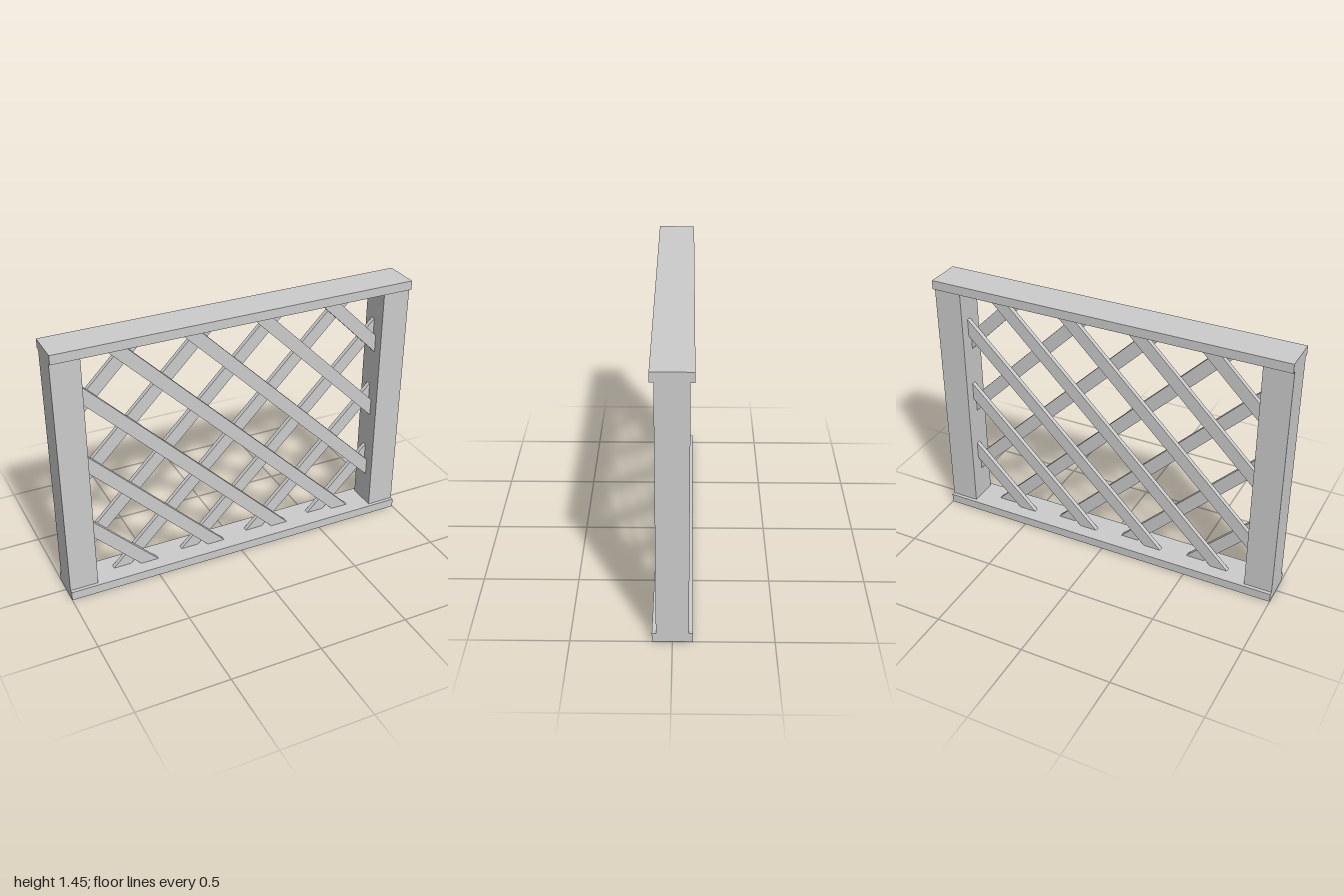
import * as THREE from 'three';

const HEIGHT = 1.45, RAIL_H = 0.05, RAIL_D = 0.2;
const POST_W = 0.155, POST_D = 0.16;
const SLAT_STEP = 0.4, SLAT_HALF = 0.05, SLAT_T = 0.025;
const OPEN_X = 1 - POST_W, OPEN_Y = HEIGHT / 2 - RAIL_H; // half size of the opening

const material = new THREE.MeshStandardMaterial({ color: 0xcccccc, flatShading: true });

function addBox(group, name, w, h, d, x, y) {
  const mesh = new THREE.Mesh(new THREE.BoxGeometry(w, h, d), material);
  mesh.name = name;
  mesh.position.set(x, y, 0);
  group.add(mesh);
}

// Ends of the diagonal x + y = c inside the opening, upper left end first
function diagonal(c) {
  const x0 = Math.max(-OPEN_X, c - OPEN_Y);
  const x1 = Math.min(OPEN_X, c + OPEN_Y);
  return [new THREE.Vector2(x0, c - x0), new THREE.Vector2(x1, c - x1)];
}

// One layer of parallel slats, mitred to the frame, running down to the right
function slatLayer(name) {
  const layer = new THREE.Group();
  layer.name = name;
  for (let k = -3; k <= 3; k++) {
    const [a, b] = diagonal(k * SLAT_STEP - SLAT_HALF);
    const [d, c] = diagonal(k * SLAT_STEP + SLAT_HALF);
    const geometry = new THREE.ExtrudeGeometry(new THREE.Shape([a, b, c, d]), {
      depth: SLAT_T, bevelEnabled: false,
    });
    const slat = new THREE.Mesh(geometry, material);
    slat.name = 'latticeSlat';
    layer.add(slat);
  }
  layer.position.y = HEIGHT / 2;
  return layer;
}

export function createModel() {
  const model = new THREE.Group();
  model.name = 'latticePanel';

  // Frame
  addBox(model, 'bottomRail', 2, RAIL_H, RAIL_D, 0, RAIL_H / 2);
  addBox(model, 'topRail', 2, RAIL_H, RAIL_D, 0, HEIGHT - RAIL_H / 2);
  for (const side of [-1, 1]) {
    addBox(model, side > 0 ? 'leftPost' : 'rightPost',
      POST_W, OPEN_Y * 2, POST_D, side * (1 - POST_W / 2), HEIGHT / 2);
  }

  // Lattice: the back layer is the front one turned half round
  model.add(slatLayer('frontSlats'));
  const back = slatLayer('backSlats');
  back.rotation.y = Math.PI;
  model.add(back);

  return model;
}
